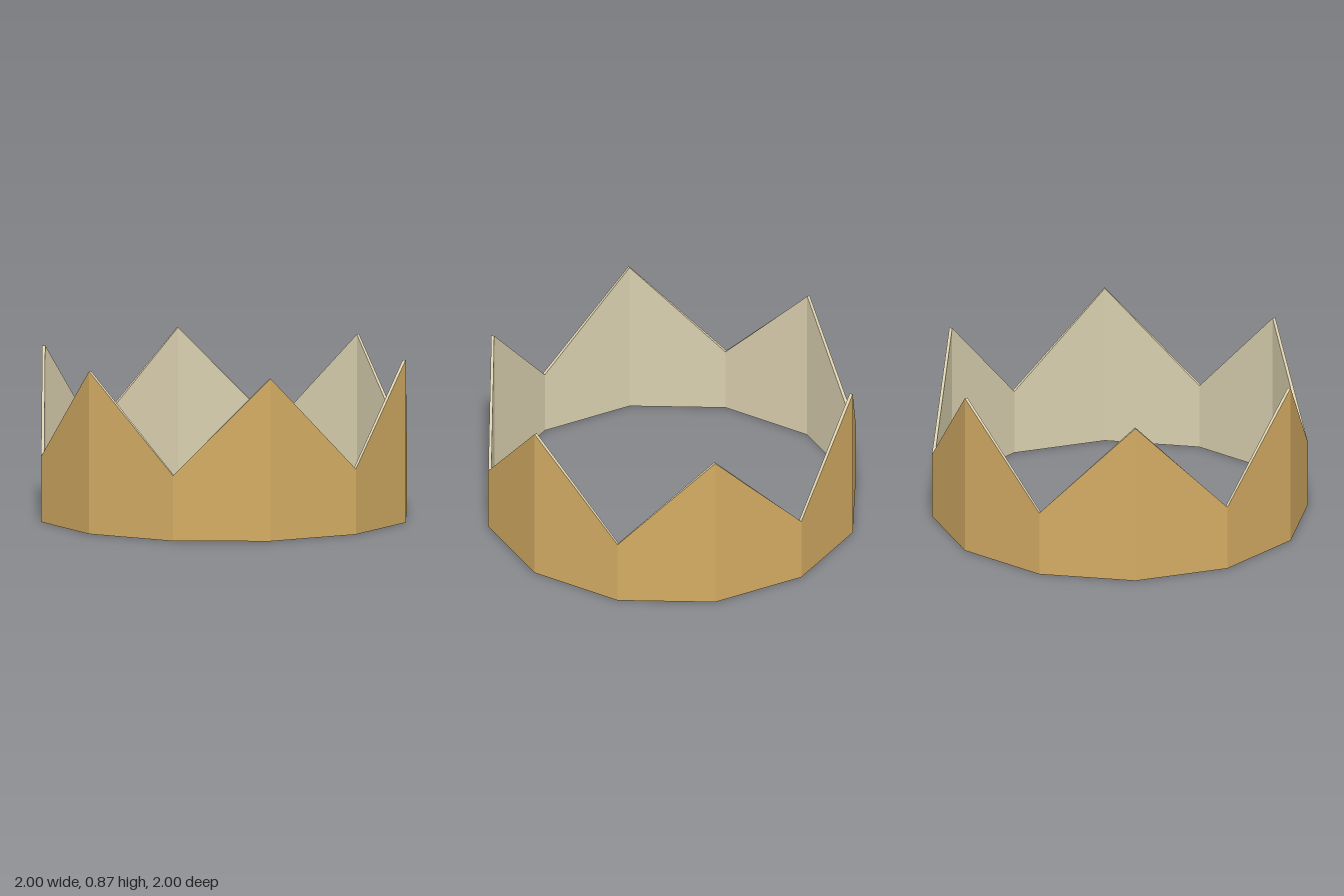
import * as THREE from 'three';

const SIDES = 12;
const OUTER = 1, INNER = 0.983;
const PEAK = 0.87, VALLEY = 0.35;

// Point on the band: corners alternate between peak and valley
function corner(i, radius, top) {
  const a = (i / SIDES) * Math.PI * 2;
  const y = top ? (i % 2 === 0 ? PEAK : VALLEY) : 0;
  return [radius * Math.cos(a), y, radius * Math.sin(a)];
}

// Ring of flat quads; quadAt(i) gives four corners, counter-clockwise from the front
function ring(name, color, quadAt) {
  const positions = [];
  for (let i = 0; i < SIDES; i++) {
    const [a, b, c, d] = quadAt(i, i + 1);
    positions.push(...a, ...b, ...c, ...a, ...c, ...d);
  }
  const geometry = new THREE.BufferGeometry();
  geometry.setAttribute('position', new THREE.Float32BufferAttribute(positions, 3));
  geometry.computeVertexNormals();
  const mesh = new THREE.Mesh(geometry, new THREE.MeshStandardMaterial({ color, flatShading: true }));
  mesh.name = name;
  return mesh;
}

export function createModel() {
  const crown = new THREE.Group();
  crown.name = 'crown';
  const gold = 0xd4ac64, lining = 0xd9cfae;

  crown.add(
    // Outer gold wall
    ring('outerBand', gold, (i, j) => [
      corner(j, OUTER, false), corner(i, OUTER, false), corner(i, OUTER, true), corner(j, OUTER, true)]),
    // Pale inner wall
    ring('innerLining', lining, (i, j) => [
      corner(i, INNER, false), corner(j, INNER, false), corner(j, INNER, true), corner(i, INNER, true)]),
    // Zigzag top edge
    ring('pointedRim', lining, (i, j) => [
      corner(j, OUTER, true), corner(i, OUTER, true), corner(i, INNER, true), corner(j, INNER, true)]),
    // Flat bottom edge
    ring('bottomRim', lining, (i, j) => [
      corner(i, OUTER, false), corner(j, OUTER, false), corner(j, INNER, false), corner(i, INNER, false)])
  );
  return crown;
}
